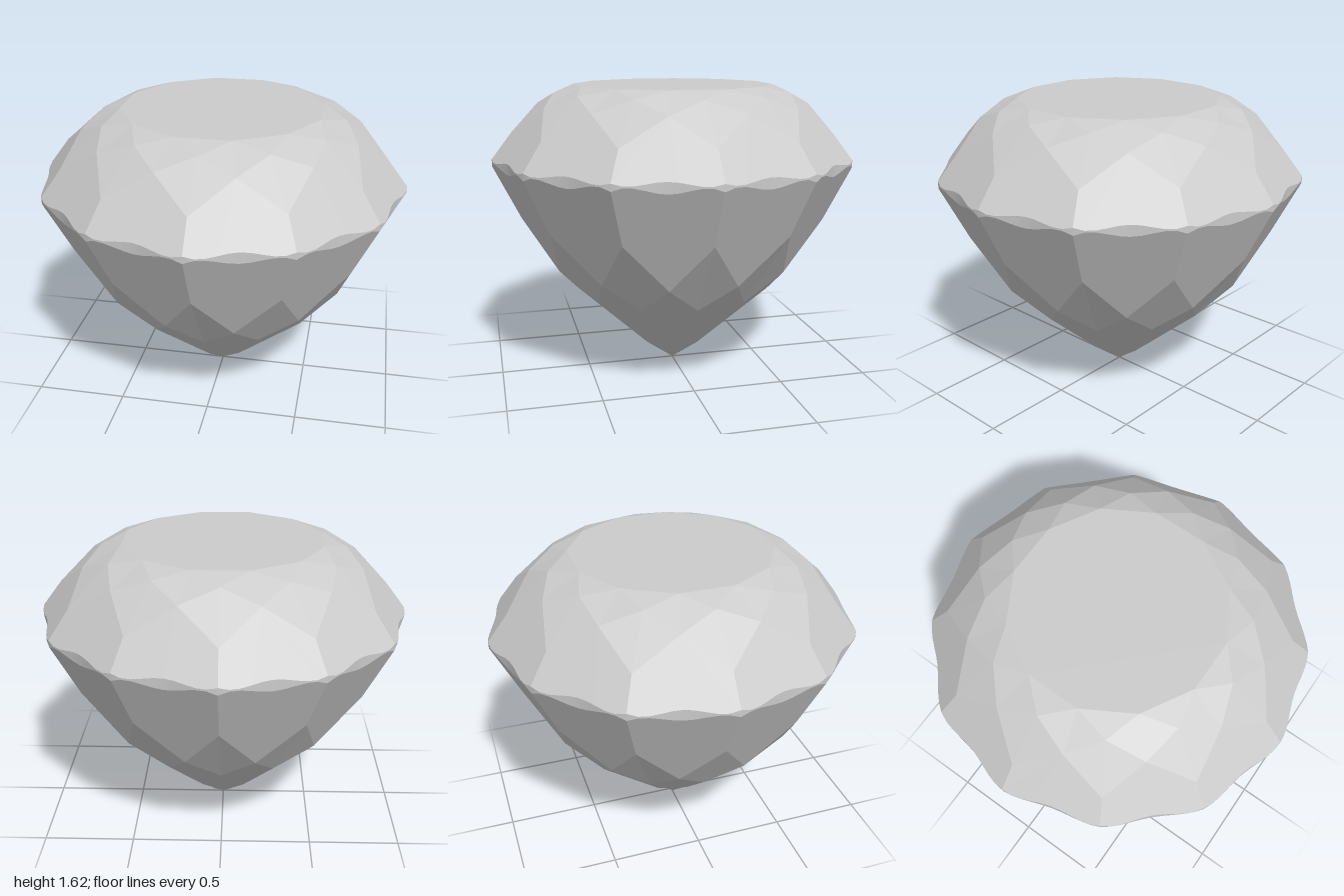
import * as THREE from 'three';

const N = 12;                 // lobes around the stone
const STEP = Math.PI * 2 / N; // angle between lobes
const ARC = 10;               // girdle segments per lobe

const at = (turn, r, y) =>
  new THREE.Vector3(Math.sin(turn * STEP) * r, y, Math.cos(turn * STEP) * r);

// Scalloped girdle outline
const girdleRadius = (turn) => 0.98 + 0.02 * Math.cos(turn * Math.PI * 2);

// Girdle edge: where the flat facet through two profile points meets the outline
function girdlePoint(turn, apex, corner) {
  const inner = apex[0], outer = corner[0] * Math.cos(STEP / 2);
  const slope = (corner[1] - apex[1]) / (outer - inner);
  const r = girdleRadius(turn);
  const lobe = Math.floor(turn) + 0.5;
  const reach = r * Math.cos((turn - lobe) * STEP);
  return at(turn, r, apex[1] + slope * (reach - inner));
}

// Flat polygons, each fanned from its first corner and turned outward
function facetMesh(name, polygons, material) {
  const positions = [];
  const centre = new THREE.Vector3(0, 1.1, 0);
  for (const poly of polygons) {
    for (let i = 1; i < poly.length - 1; i++) {
      let [a, b, c] = [poly[0], poly[i], poly[i + 1]];
      const normal = b.clone().sub(a).cross(c.clone().sub(a));
      if (normal.dot(a.clone().sub(centre)) < 0) [b, c] = [c, b];
      for (const p of [a, b, c]) positions.push(p.x, p.y, p.z);
    }
  }
  const geometry = new THREE.BufferGeometry();
  geometry.setAttribute('position', new THREE.Float32BufferAttribute(positions, 3));
  geometry.computeVertexNormals();
  const mesh = new THREE.Mesh(geometry, material);
  mesh.name = name;
  return mesh;
}

// Profile points [radius, height]; "mid" ones sit between the lobes
const crown = { tableMid: [0.55, 1.62], star: [0.66, 1.58], mid: [0.755, 1.515], corner: [0.89, 1.375] };
const pavilion = { corner: [0.855, 0.9], mid: [0.7, 0.635], low: [0.56, 0.48], lowMid: [0.17, 0.125] };

// Facets between the girdle and the first row of points
function girdleFacet(k, { mid, corner }) {
  const poly = [at(k + 0.5, ...mid), at(k, ...corner)];
  for (let i = 0; i <= ARC; i++) {
    const t = Math.min(k + i / ARC, k + 1 - 1e-7);
    poly.push(girdlePoint(t, mid, corner));
  }
  poly.push(at(k + 1, ...corner));
  return poly;
}

// Thin smooth band between crown and pavilion
function girdleMesh(material) {
  const positions = [], index = [], count = N * ARC;
  for (let i = 0; i < count; i++) {
    const low = girdlePoint(i / ARC, pavilion.mid, pavilion.corner);
    const high = girdlePoint(i / ARC, crown.mid, crown.corner);
    positions.push(...low.toArray(), ...high.toArray());
    const a = i * 2, b = ((i + 1) % count) * 2;
    index.push(a, b, b + 1, a, b + 1, a + 1);
  }
  const geometry = new THREE.BufferGeometry();
  geometry.setAttribute('position', new THREE.Float32BufferAttribute(positions, 3));
  geometry.setIndex(index);
  geometry.computeVertexNormals();
  const mesh = new THREE.Mesh(geometry, material);
  mesh.name = 'girdle';
  return mesh;
}

export function createModel() {
  const faceted = new THREE.MeshStandardMaterial({ color: 0xcccccc, flatShading: true });
  const smooth = new THREE.MeshStandardMaterial({ color: 0xcccccc });

  const table = [], crownFacets = [], pavilionFacets = [];
  const culet = new THREE.Vector3(0, 0, 0);

  for (let k = 0; k < N; k++) {
    table.push(at(k + 0.5, ...crown.tableMid));

    // Crown: star triangle, bezel kite, main kite, girdle facet
    const star = at(k, ...crown.star);
    const tableLeft = at(k - 0.5, ...crown.tableMid), tableRight = at(k + 0.5, ...crown.tableMid);
    const midLeft = at(k - 0.5, ...crown.mid), midRight = at(k + 0.5, ...crown.mid);
    crownFacets.push(
      [tableLeft, star, tableRight],
      [tableRight, star, midRight, at(k + 1, ...crown.star)],
      [star, midLeft, at(k, ...crown.corner), midRight],
      girdleFacet(k, crown));

    // Pavilion: girdle facet, upper kite, middle kite, long culet kite
    const low = at(k, ...pavilion.low);
    pavilionFacets.push(
      girdleFacet(k, pavilion),
      [at(k, ...pavilion.corner), at(k - 0.5, ...pavilion.mid), low, at(k + 0.5, ...pavilion.mid)],
      [at(k + 0.5, ...pavilion.mid), low, at(k + 0.5, ...pavilion.lowMid), at(k + 1, ...pavilion.low)],
      [low, at(k - 0.5, ...pavilion.lowMid), culet, at(k + 0.5, ...pavilion.lowMid)]);
  }

  const gem = new THREE.Group();
  gem.name = 'gemstone';
  gem.add(
    facetMesh('table', [table], faceted),
    facetMesh('crown', crownFacets, faceted),
    girdleMesh(smooth),
    facetMesh('pavilion', pavilionFacets, faceted));
  return gem;
}
